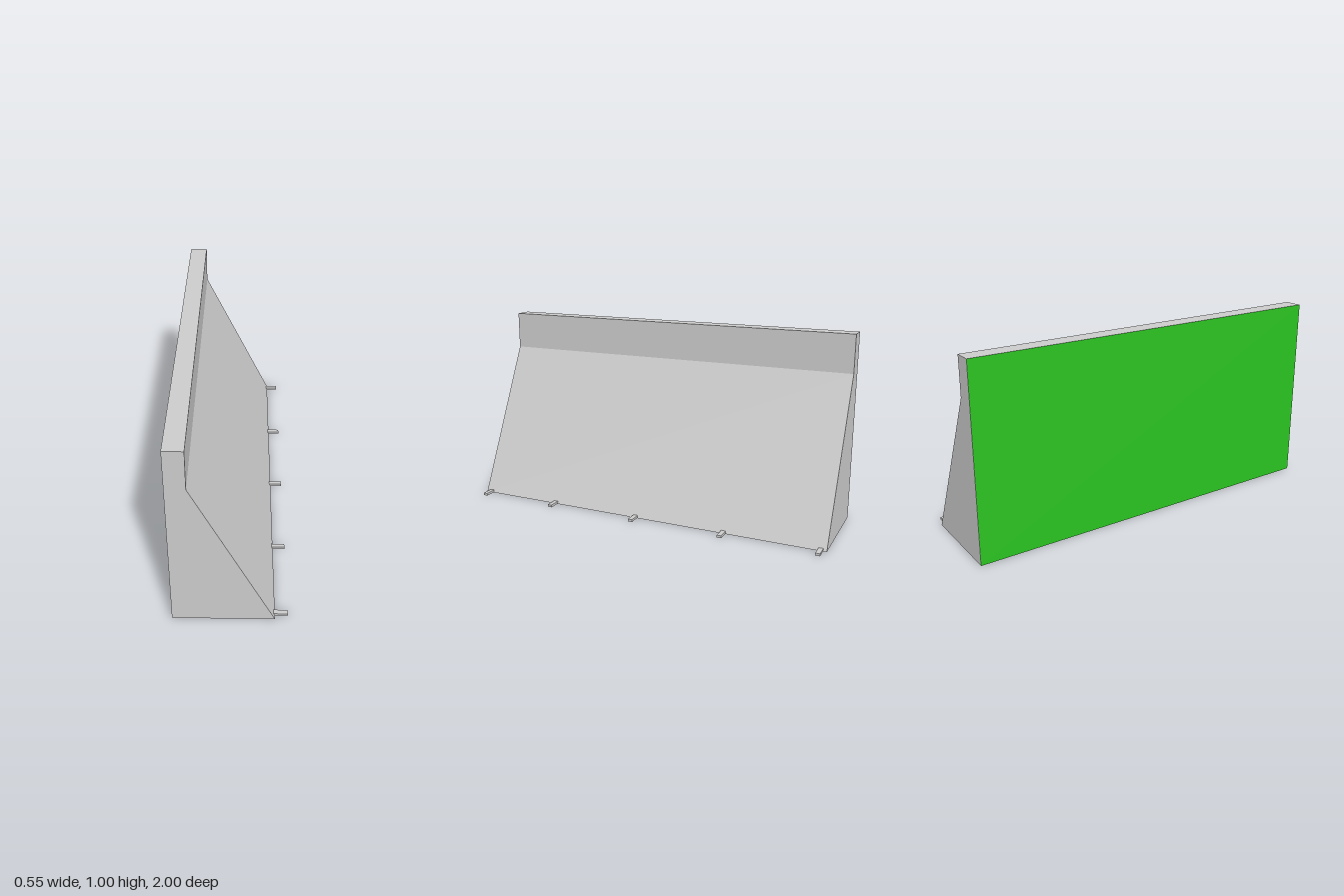
import * as THREE from 'three';

export function createModel() {
  const group = new THREE.Group();
  const grey = new THREE.MeshStandardMaterial({ color: 0xcccccc, flatShading: true });
  const green = new THREE.MeshStandardMaterial({ color: 0x2bc421 });

  const add = (name, geometry, material, x, y, z) => {
    const mesh = new THREE.Mesh(geometry, material);
    mesh.name = name;
    mesh.position.set(x, y, z);
    group.add(mesh);
    return mesh;
  };

  // Barrier wall: cross-section with an upright top and a sloping face
  const profile = new THREE.Shape([
    [-0.274, 0], [0.213, 0], [-0.18, 0.8], [-0.18, 1], [-0.274, 1],
  ].map(([x, y]) => new THREE.Vector2(x, y)));
  const wall = new THREE.ExtrudeGeometry(profile, { depth: 2, bevelEnabled: false });
  add('wall', wall, grey, 0, 0, -1);

  // Coloured sheet covering the upright back of the wall
  const panel = add('backPanel', new THREE.PlaneGeometry(2, 1), green, -0.275, 0.5, 0);
  panel.rotation.y = -Math.PI / 2;

  // Small pegs along the foot of the slope
  const peg = new THREE.BoxGeometry(0.068, 0.013, 0.024);
  [-0.97, -0.47, 0.03, 0.53, 0.967].forEach((z, i) => {
    add(`peg${i + 1}`, peg, grey, 0.24, 0.0068, z);
  });

  return group;
}
